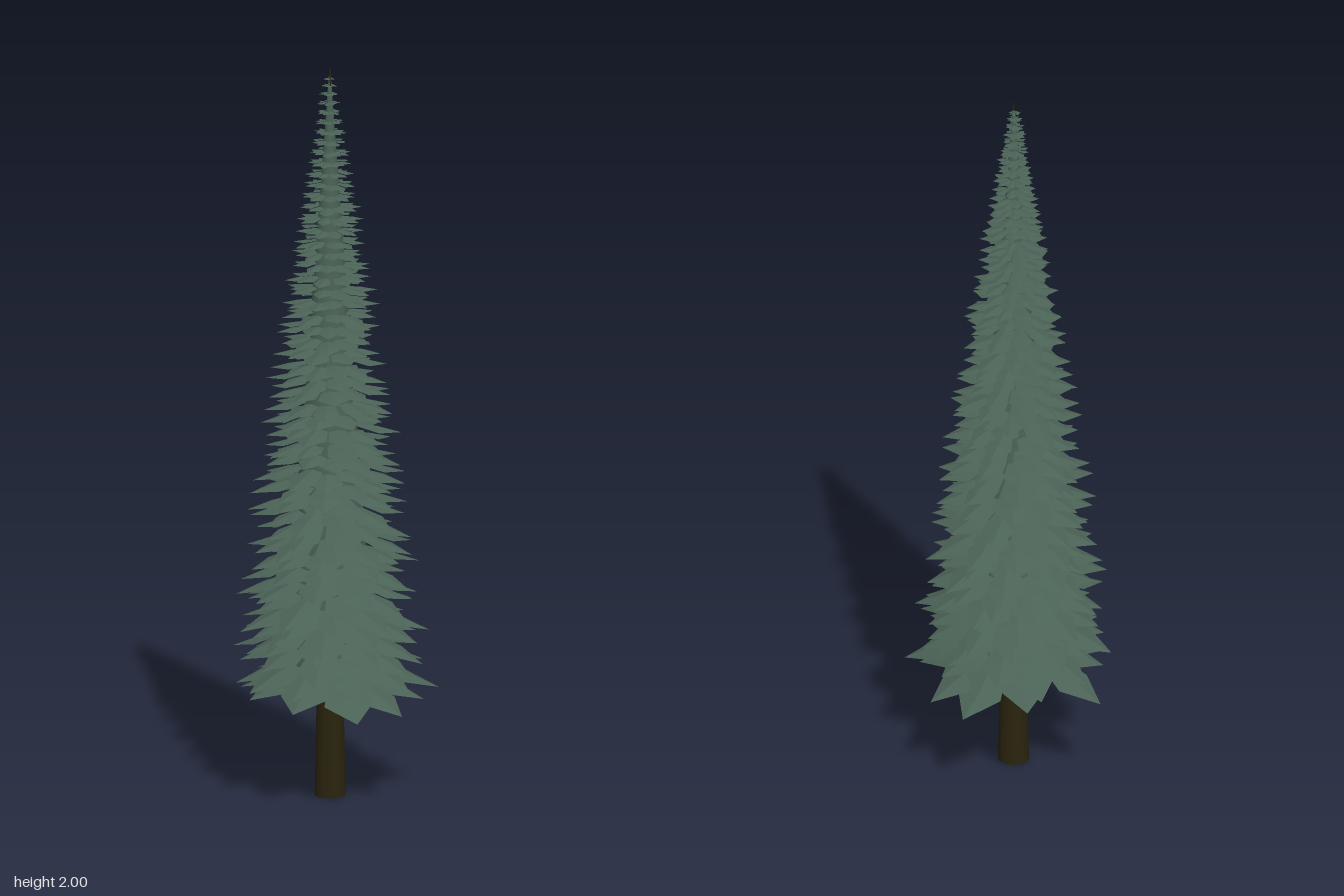
import * as THREE from 'three';

const TIERS = 50;
const TOP = 1.975, BOTTOM = 0.385;

// small seeded random generator
function makeRandom(seed) {
  return () => {
    seed = (seed * 16807) % 2147483647;
    return seed / 2147483647;
  };
}

// one drooping, gently ridged kite-shaped bough; adds its triangles to out
function addBough(out, angle, y, length, width, droop) {
  const point = (r, side, drop) => {
    const c = Math.cos(angle), s = Math.sin(angle);
    return [r * c - side * s, y - r * Math.tan(droop) - drop, r * s + side * c];
  };
  const root = point(0, 0, 0);
  const ridge = point(length * 0.66, 0, -width * 0.04);
  const tip = point(length, 0, 0);
  const a = point(length * 0.68, width / 2, width * 0.07);
  const b = point(length * 0.68, -width / 2, width * 0.07);
  for (const tri of [[root, a, ridge], [root, ridge, b], [ridge, a, tip], [ridge, tip, b]]) {
    tri.forEach((p) => out.push(...p));
  }
}

export function createModel() {
  const needles = new THREE.MeshStandardMaterial({ color: 0x4b6256, side: THREE.DoubleSide });
  needles.name = 'needle green';
  const bark = new THREE.MeshStandardMaterial({ color: 0x2a240e });
  bark.name = 'dark bark';

  const tree = new THREE.Group();
  tree.name = 'conifer';
  const random = makeRandom(4217);

  // tapering trunk running to the tip
  const trunk = new THREE.Mesh(new THREE.CylinderGeometry(0.002, 0.042, 2, 14), bark);
  trunk.name = 'trunk';
  trunk.position.set(0.002, 1, 0.012);
  tree.add(trunk);

  // dense inner foliage, open underneath
  const core = new THREE.Mesh(new THREE.CylinderGeometry(0.003, 0.122, 1.62, 20, 1, true), needles);
  core.name = 'innerFoliage';
  core.position.set(0.002, 1.17, 0.01);
  tree.add(core);

  // tiers of boughs, closer together towards the tip
  const boughs = new THREE.Group();
  boughs.name = 'boughs';
  for (let i = 0; i < TIERS; i++) {
    const t = i / (TIERS - 1);
    const h = 1 - Math.pow(1 - t, 1.15);
    const y = BOTTOM + (TOP - BOTTOM) * h;
    const reach = 0.016 + 0.262 * Math.pow(1 - h, 0.88);
    const droop = THREE.MathUtils.lerp(0.4, 0.12, Math.min(1, h * 1.5));
    const count = 10;
    const points = [];
    for (let k = 0; k < count; k++) {
      const angle = ((k + (random() - 0.5) * 0.4) / count) * Math.PI * 2 + i * 2.4;
      const length = reach * (0.84 + random() * 0.24);
      const lift = (random() - 0.5) * 0.024 * (1 - h);
      addBough(points, angle, y + lift, length, reach * (0.4 + random() * 0.1), droop);
    }
    const geometry = new THREE.BufferGeometry();
    geometry.setAttribute('position', new THREE.Float32BufferAttribute(points, 3));
    geometry.computeVertexNormals();
    const tier = new THREE.Mesh(geometry, needles);
    tier.name = `boughTier${i + 1}`;
    boughs.add(tier);
  }
  boughs.position.set(0.002, 0, 0.006);
  tree.add(boughs);

  return tree;
}
